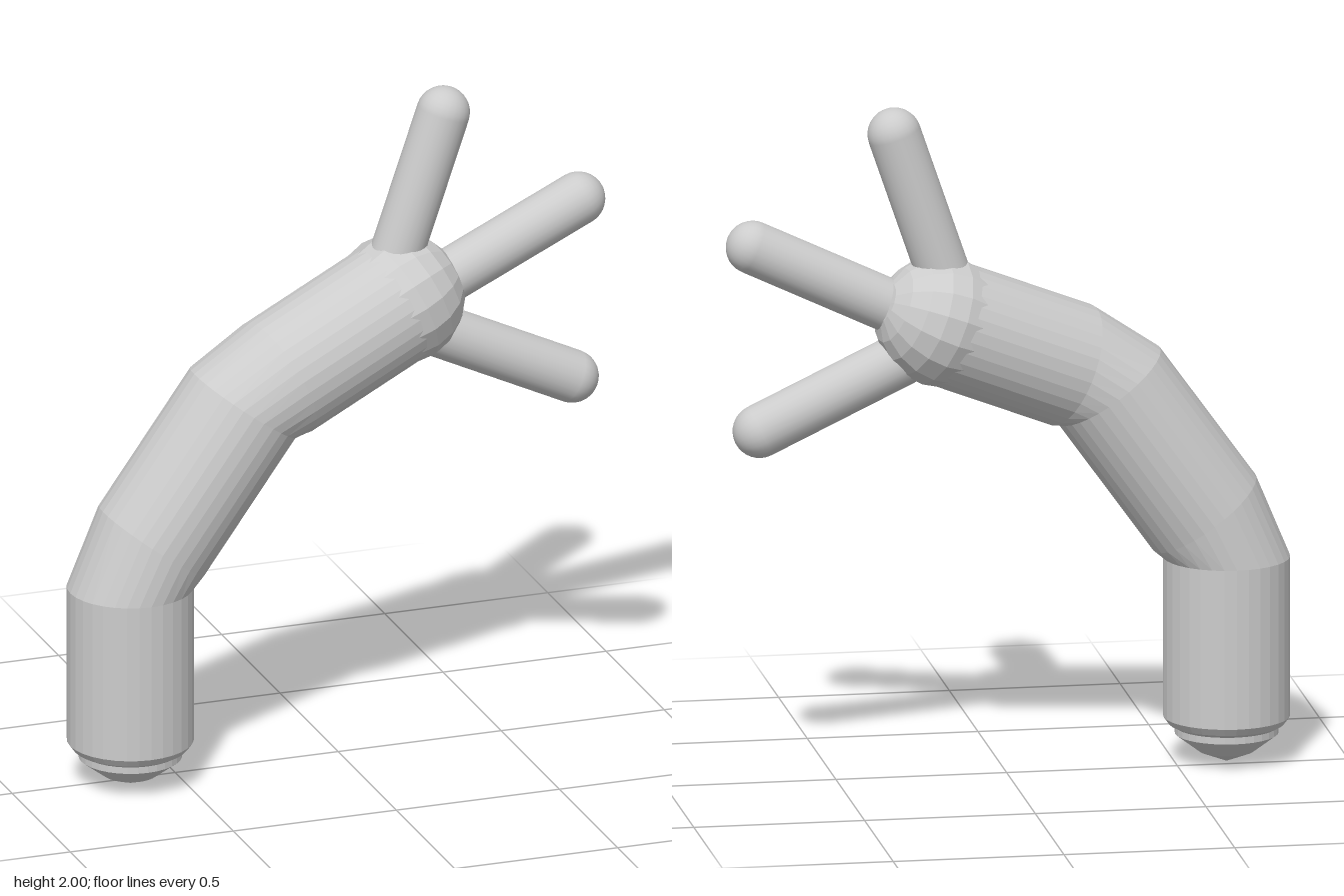
import * as THREE from 'three';

const V = (x, y, z) => new THREE.Vector3(x, y, z);
const flat = new THREE.MeshStandardMaterial({ color: 0xcccccc, flatShading: true });
const smooth = new THREE.MeshStandardMaterial({ color: 0xcccccc });
const UP = V(0, 1, 0);

function add(group, name, geometry, material) {
  const mesh = new THREE.Mesh(geometry, material);
  mesh.name = name;
  group.add(mesh);
  return mesh;
}

// Tube through circular rings, each given as { centre, normal }, capped at the far end
function ringTube(rings, radius, sides) {
  const pos = [], index = [];
  for (const { centre, normal } of rings) {
    const n = normal.clone().normalize();
    const u = V(0, 0, 1).addScaledVector(n, -n.z).normalize();
    const v = n.clone().cross(u);
    for (let i = 0; i < sides; i++) {
      const a = (i / sides) * Math.PI * 2;
      const p = centre.clone()
        .addScaledVector(u, Math.cos(a) * radius)
        .addScaledVector(v, Math.sin(a) * radius);
      pos.push(p.x, p.y, p.z);
    }
  }
  for (let r = 0; r < rings.length - 1; r++) {
    for (let i = 0; i < sides; i++) {
      const j = (i + 1) % sides;
      const a = r * sides + i, b = r * sides + j, c = a + sides, d = b + sides;
      index.push(a, b, c, b, d, c);
    }
  }
  const last = rings[rings.length - 1].centre, end = (rings.length - 1) * sides;
  pos.push(last.x, last.y, last.z);
  for (let i = 0; i < sides; i++) index.push(end + i, end + ((i + 1) % sides), rings.length * sides);
  const g = new THREE.BufferGeometry();
  g.setAttribute('position', new THREE.Float32BufferAttribute(pos, 3));
  g.setIndex(index);
  g.computeVertexNormals();
  return g;
}

export function createModel() {
  const group = new THREE.Group();
  const R = 0.184, sides = 32;

  // Upright base with a stepped, domed underside
  const profile = [[0, 0], [0.03, 0.012], [0.08, 0.032], [0.15, 0.085], [0.15, 0.105],
    [0.168, 0.115], [R, 0.137], [R, 0.61]].map(([x, y]) => new THREE.Vector2(x, y));
  add(group, 'base', new THREE.LatheGeometry(profile, sides), flat).position.set(-0.65, 0, 0.035);

  // Bent arm: elbow, middle section, second elbow, wrist section
  const wrist = V(0.2, 1.362, -0.04), bend = V(-0.195, 1.197, 0.035);
  const middle = V(0.585, 0.812, 0), forward = wrist.clone().sub(bend);
  add(group, 'arm', ringTube([
    { centre: V(-0.65, 0.61, 0.035), normal: UP },
    { centre: V(-0.585, 0.742, 0.035), normal: middle },
    { centre: V(-0.305, 1.132, 0.035), normal: middle },
    { centre: bend, normal: forward },
    { centre: wrist, normal: forward },
  ], R, sides), flat);

  // Faceted ball at the end of the arm, pole pointing along it
  const palm = add(group, 'palm', new THREE.SphereGeometry(0.192, 16, 10), flat);
  palm.position.copy(wrist);
  palm.quaternion.setFromUnitVectors(UP, forward.clone().normalize());

  // Three round-tipped fingers
  const fingers = [
    ['upperFinger', V(0.165, 1.425, -0.037), V(0.335, 1.922, -0.037)],
    ['middleFinger', V(0.25, 1.365, -0.037), V(0.75, 1.602, -0.037)],
    ['lowerFinger', V(0.25, 1.283, -0.037), V(0.73, 1.055, -0.037)],
  ];
  for (const [name, from, to] of fingers) {
    const dir = to.clone().sub(from);
    const finger = add(group, name, new THREE.CapsuleGeometry(0.078, dir.length(), 8, 24), smooth);
    finger.position.copy(from).add(to).multiplyScalar(0.5);
    finger.quaternion.setFromUnitVectors(UP, dir.normalize());
  }
  return group;
}
